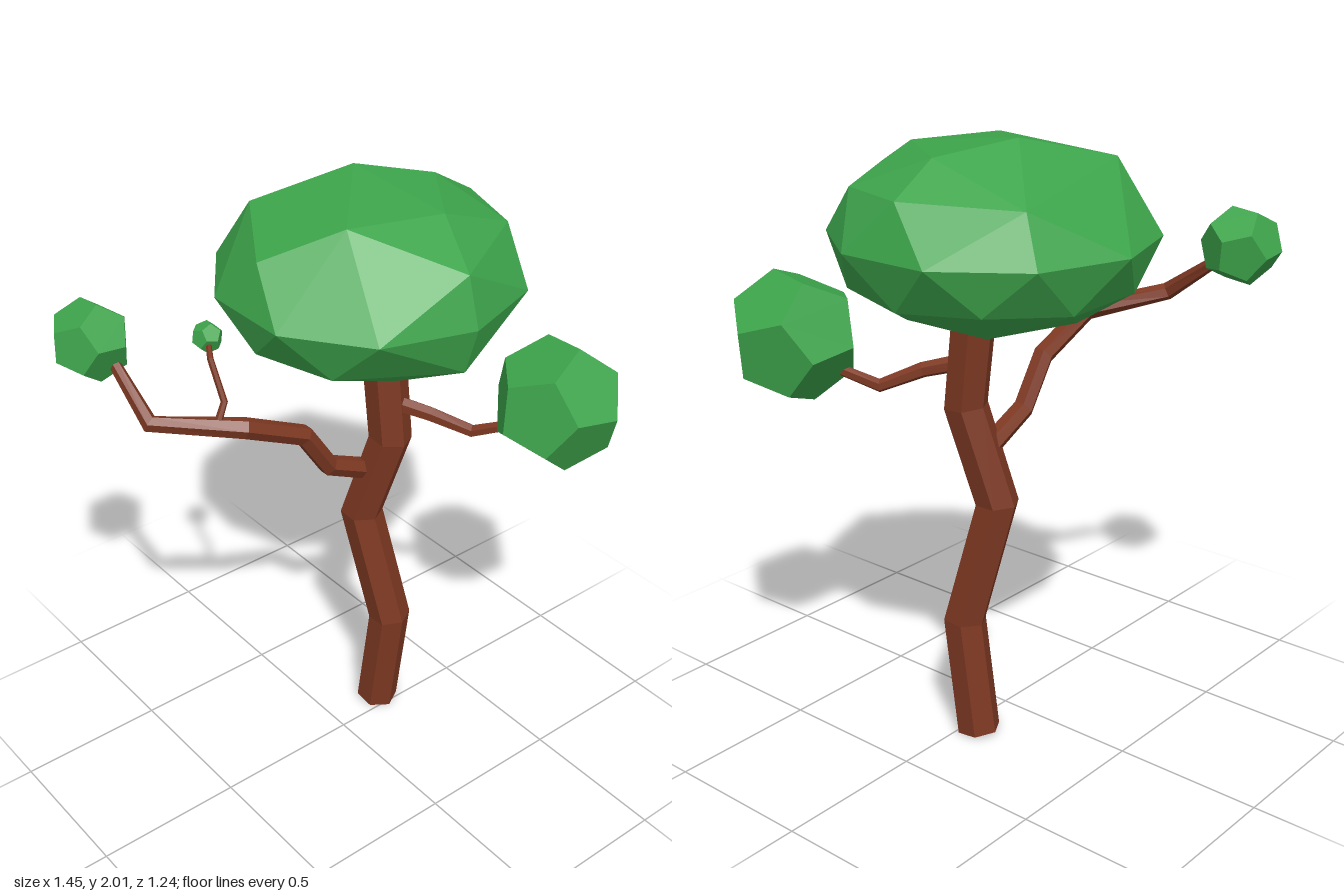
import * as THREE from 'three';
import { ConvexGeometry } from 'three/addons/geometries/ConvexGeometry.js';

const bark = new THREE.MeshStandardMaterial({ color: 0x7d3822, flatShading: true });
const leaf = new THREE.MeshStandardMaterial({ color: 0x3da44b, flatShading: true });

// Six-sided limb swept along a bent path; each point is [x, y, z, radius]
function limbGeometry(path, side) {
  const sides = 6;
  const pts = path.map(p => new THREE.Vector3(p[0], p[1], p[2]));
  const u = new THREE.Vector3(...side);
  const rings = pts.map((p, i) => {
    const t = new THREE.Vector3();
    if (i > 0) t.add(p.clone().sub(pts[i - 1]).normalize());
    if (i < pts.length - 1) t.add(pts[i + 1].clone().sub(p).normalize());
    t.normalize();
    u.addScaledVector(t, -u.dot(t)).normalize();
    const w = t.clone().cross(u);
    return Array.from({ length: sides }, (_, j) => {
      const a = (j / sides) * Math.PI * 2, r = path[i][3];
      return p.clone().addScaledVector(u, Math.cos(a) * r).addScaledVector(w, Math.sin(a) * r);
    });
  });
  const tris = [];
  const last = pts.length - 1;
  for (let j = 0; j < sides; j++) {
    const k = (j + 1) % sides;
    for (let i = 0; i < last; i++) {
      const a = rings[i][j], b = rings[i][k], c = rings[i + 1][k], d = rings[i + 1][j];
      tris.push(a, b, c, a, c, d);
    }
    tris.push(pts[0], rings[0][k], rings[0][j], pts[last], rings[last][j], rings[last][k]);
  }
  const g = new THREE.BufferGeometry().setFromPoints(tris);
  g.computeVertexNormals();
  return g;
}

// Five points on one level of the crown, first at the given angle in degrees
function crownRing(start, radius, y, skip = []) {
  const out = [];
  for (let k = 0; k < 5; k++) {
    if (skip.includes(k)) continue;
    const a = THREE.MathUtils.degToRad(start + 72 * k);
    out.push(new THREE.Vector3(0.195 + radius * Math.cos(a), y, -0.117 + radius * Math.sin(a)));
  }
  return out;
}

function crownGeometry() {
  const extra = [
    [0.24, 2.0, -0.25], [-0.07, 1.92, -0.37], [0.45, 1.85, -0.45],
    [0.195, 1.86, 0.335], [0.617, 1.86, -0.12], [0.195, 1.54, 0.335], [0.195, 1.41, -0.117],
  ].map(p => new THREE.Vector3(...p));
  return new ConvexGeometry([
    ...extra,
    ...crownRing(0, 0.263, 1.957, [3, 4]),      // upper cap
    ...crownRing(36, 0.425, 1.858, [1, 3, 4]),  // shoulder
    ...crownRing(18, 0.5, 1.7),                 // widest level, ten points
    ...crownRing(54, 0.5, 1.7),
    ...crownRing(0, 0.425, 1.545, [1]),         // underside
    ...crownRing(180, 0.44, 1.56, [4]),
    ...crownRing(180, 0.263, 1.45),
  ]);
}

export function createModel() {
  const tree = new THREE.Group();
  tree.name = 'tree';
  const add = (name, geometry, material) => {
    const m = new THREE.Mesh(geometry, material);
    m.name = name;
    tree.add(m);
    return m;
  };

  // Trunk and branches
  add('trunk', limbGeometry([
    [0.2, 0, -0.052, 0.072], [0.212, 0.4, -0.005, 0.072], [0.16, 0.82, -0.1, 0.072],
    [0.207, 1.14, -0.013, 0.072], [0.203, 1.43, -0.045, 0.072],
  ], [0, 0, 1]), bark);
  add('rightBranch', limbGeometry([
    [0.17, 1.0, -0.07, 0.036], [-0.005, 1.085, -0.07, 0.035], [-0.105, 1.24, -0.07, 0.035],
    [-0.32, 1.345, -0.08, 0.034], [-0.565, 1.383, -0.23, 0.029], [-0.565, 1.52, -0.42, 0.019],
  ], [0, 0, 1]), bark);
  add('twig', limbGeometry([
    [-0.395, 1.36, -0.122, 0.013], [-0.358, 1.43, -0.13, 0.011],
    [-0.367, 1.56, -0.18, 0.01], [-0.325, 1.585, -0.25, 0.008],
  ], [0, 0, 1]), bark);
  add('leftBranch', limbGeometry([
    [0.2, 1.28, -0.01, 0.028], [0.28, 1.25, 0.1, 0.025],
    [0.37, 1.2, 0.2, 0.022], [0.44, 1.25, 0.31, 0.018],
  ], [0, 1, 0]), bark);

  // Foliage
  add('crown', crownGeometry(), leaf);
  const clumps = [
    ['leftClump', 0.515, 1.355, 0.42, 0.214, 0.35],
    ['rightClump', -0.595, 1.572, -0.487, 0.132, 0.5],
    ['twigClump', -0.323, 1.587, -0.257, 0.05, 0.2],
  ];
  for (const [name, x, y, z, r, turn] of clumps) {
    const m = add(name, new THREE.DodecahedronGeometry(r), leaf);
    m.position.set(x, y, z);
    m.rotation.set(0.3, turn, 0.25);
  }
  return tree;
}
